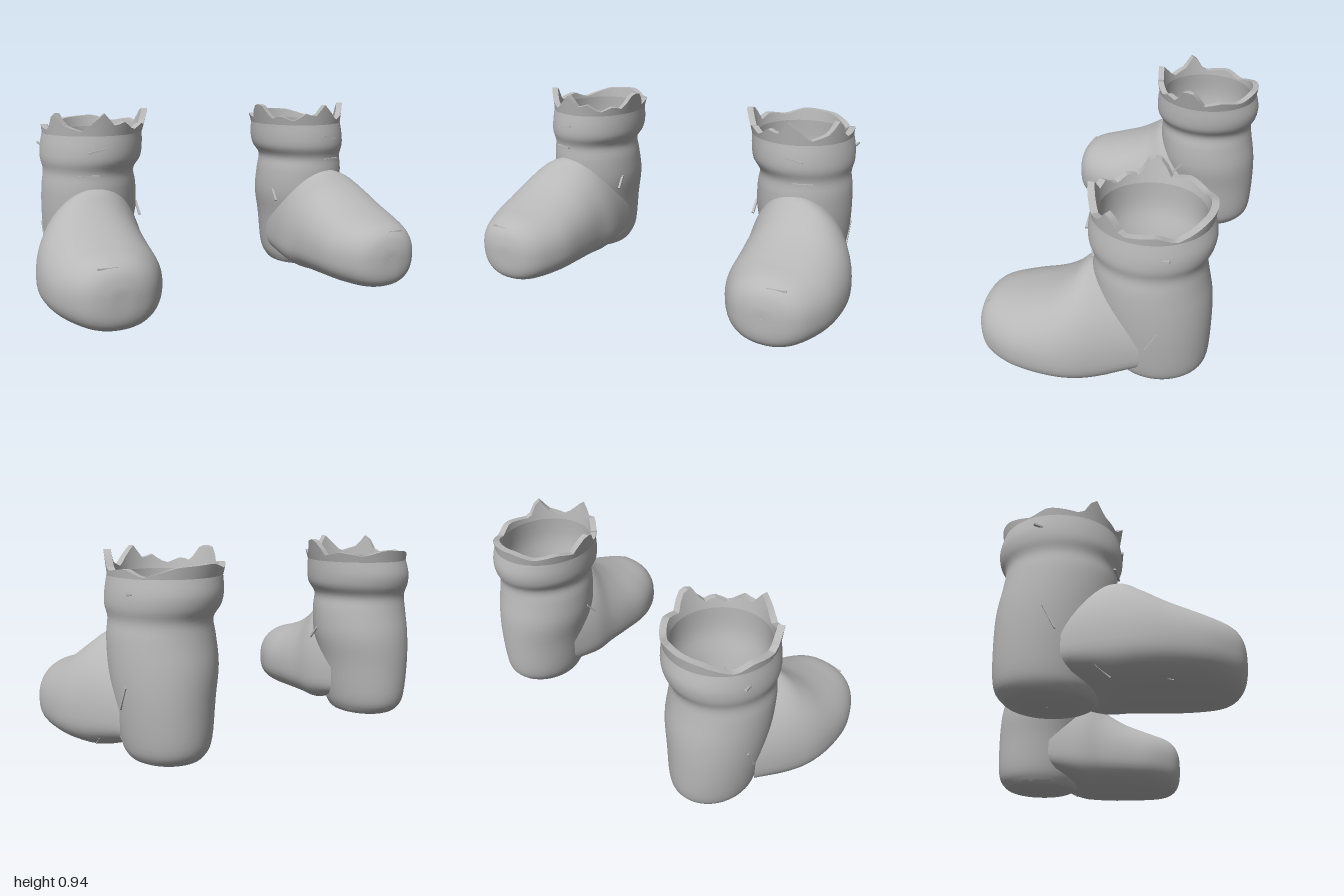
import * as THREE from 'three';
import { toCreasedNormals } from 'three/addons/utils/BufferGeometryUtils.js';

const SEG = 60;

// Smoothly resample a short table of section parameters
function resample(rows, steps) {
  const out = [];
  const at = i => rows[Math.max(0, Math.min(rows.length - 1, i))];
  for (let i = 0; i < rows.length - 1; i++) {
    for (let s = 0; s < steps; s++) {
      const t = s / steps;
      out.push(rows[i].map((b, k) => {
        const a = at(i - 1)[k], c = at(i + 1)[k], d = at(i + 2)[k];
        return b + 0.5 * t * (c - a + t * (2 * a - 5 * b + 4 * c - d + t * (3 * (b - c) + d - a)));
      }));
    }
  }
  out.push(rows[rows.length - 1]);
  return out;
}

// Skin a list of rings; point(row, angle) gives [x, y, z]; side mirrors in x
function loft(rows, point, side, crease) {
  const pos = [], index = [];
  rows.forEach(row => {
    for (let j = 0; j < SEG; j++) {
      const [x, y, z] = point(row, (j / SEG) * Math.PI * 2);
      pos.push(x * side, y, z);
    }
  });
  for (let i = 0; i < rows.length - 1; i++) {
    for (let j = 0; j < SEG; j++) {
      const k = (j + 1) % SEG;
      const a = i * SEG + j, b = a + SEG, c = i * SEG + k, d = c + SEG;
      if (side > 0) index.push(a, b, c, c, b, d);
      else index.push(a, c, b, c, d, b);
    }
  }
  const geo = new THREE.BufferGeometry();
  geo.setAttribute('position', new THREE.Float32BufferAttribute(pos, 3));
  geo.setIndex(index);
  return toCreasedNormals(geo, crease);
}

// Shaft and heel: y, centre x, half width, back z, front z
const SHAFT = [
  [0.02, 0.64, 0.002, -0.3, -0.296], [0.02, 0.64, 0.13, -0.44, -0.13],
  [0.05, 0.645, 0.17, -0.50, -0.08], [0.12, 0.645, 0.195, -0.532, -0.06],
  [0.3, 0.645, 0.22, -0.54, -0.03], [0.45, 0.635, 0.24, -0.535, 0.0],
  [0.58, 0.635, 0.238, -0.513, 0.008], [0.66, 0.635, 0.228, -0.505, 0.005],
  [0.72, 0.622, 0.252, -0.53, 0.028], [0.78, 0.615, 0.257, -0.538, 0.03],
  [0.85, 0.608, 0.252, -0.522, 0.02],
];
// Lining, from the collar down to the inner floor
const LINING = [
  [0.85, 0.606, 0.222, -0.49, -0.012], [0.72, 0.615, 0.222, -0.495, -0.012],
  [0.6, 0.625, 0.19, -0.475, -0.04], [0.4, 0.63, 0.15, -0.475, -0.08],
  [0.18, 0.635, 0.13, -0.47, -0.12], [0.12, 0.635, 0.1, -0.44, -0.16],
  [0.12, 0.635, 0.002, -0.3, -0.296],
];
const shaftPoint = ([y, cx, w, zb, zf], a) =>
  [cx + w * Math.cos(a), y, (zb + zf) / 2 + (zf - zb) / 2 * Math.sin(a)];

// Torn rim: angle in degrees (0 outer side, 90 front), height
const RIM = [
  [0, 0.88], [16, 0.87], [28, 0.97], [40, 0.9], [62, 0.87], [84, 0.96], [98, 0.89],
  [106, 0.92], [124, 0.87], [140, 0.9], [152, 0.88], [164, 0.965], [176, 0.95], [186, 0.88],
  [205, 0.9], [230, 0.88], [255, 0.91], [292, 0.9], [326, 0.855], [344, 0.89], [360, 0.88],
];
function rimHeight(a) {
  const deg = a * 180 / Math.PI;
  const i = Math.max(1, RIM.findIndex(r => r[0] >= deg));
  const [d0, y0] = RIM[i - 1], [d1, y1] = RIM[i];
  return y0 + (y1 - y0) * (deg - d0) / (d1 - d0);
}
// Rim rows: inset, whether the row follows the torn height
const RIM_ROWS = [[0, 0], [0, 1], [0.032, 1], [0.032, 0]];
function rimPoint([inset, torn], a) {
  const y = torn ? rimHeight(a) : 0.85;
  const flare = (y - 0.85) * 0.2;
  return [0.607 - flare * 0.5 + (0.252 - inset + flare) * Math.cos(a), y,
    -0.251 + (0.271 - inset + flare * 0.8) * Math.sin(a)];
}

// Foot from toe to ankle: z, centre x, half width, bottom y, top y, backward sweep of the sides
const FOOT = [
  [0.538, 0.72, 0.002, 0.198, 0.202, 0], [0.535, 0.72, 0.07, 0.11, 0.26, 0],
  [0.51, 0.72, 0.145, 0.06, 0.325, 0], [0.45, 0.72, 0.205, 0.035, 0.37, 0],
  [0.33, 0.72, 0.26, 0.028, 0.405, 0], [0.2, 0.72, 0.279, 0.025, 0.455, 0.02],
  [0.1, 0.71, 0.278, 0.022, 0.52, 0.06], [0.03, 0.68, 0.262, 0.022, 0.58, 0.12],
  [-0.03, 0.645, 0.215, 0.06, 0.6, 0.23],
];
function footPoint([z, cx, w, yb, yt, sweep], a) {
  const c = Math.cos(a), s = Math.sin(a), mid = 0.2;
  const y = s > 0 ? mid + (yt - mid) * Math.pow(s, 0.92) : mid - (mid - yb) * Math.pow(-s, 0.75);
  const back = sweep * (c * c + (s < 0 ? 0.35 * s * s : 0));
  return [cx + w * Math.sign(c) * Math.pow(Math.abs(c), 0.88), y, z - back];
}

// Loose slivers on the skin: x, y, z, length, turn about y, tilt
const SLIVERS = [
  [0.77, 0.335, 0.49, 0.09, 0.1, 0], [0.9, 0.06, 0.15, 0.09, 1.5, 0.15],
  [0.865, 0.33, -0.31, 0.12, 1.57, 1.1], [0.85, 0.78, -0.34, 0.1, 1.35, 0.2],
  [0.66, 0.78, 0.025, 0.09, 0.1, -0.2], [0.7, 0.655, -0.005, 0.1, 0.3, 0],
  [0.88, 0.085, -0.09, 0.08, 1.3, 0.6], [0.41, 0.45, -0.14, 0.08, 1.5, 0.9],
];

export function createModel() {
  const model = new THREE.Group();
  model.name = 'pairOfBoots';
  const grey = new THREE.MeshStandardMaterial({ color: 0xb8b8b8, side: THREE.DoubleSide });
  grey.name = 'grey';

  for (const side of [1, -1]) {
    const boot = new THREE.Group();
    boot.name = side > 0 ? 'leftBoot' : 'rightBoot';
    const add = (name, geo) => {
      const mesh = new THREE.Mesh(geo, grey);
      mesh.name = name;
      boot.add(mesh);
      return mesh;
    };
    add('shaftAndHeel', loft(resample(SHAFT, 4), shaftPoint, side, 1));
    add('lining', loft(resample(LINING, 3), shaftPoint, side, 1));
    add('tornRim', loft(RIM_ROWS, rimPoint, side, 0.5));
    add('foot', loft(resample(FOOT, 5), footPoint, side, 1));
    for (const [x, y, z, len, turn, tilt] of SLIVERS) {
      const sliver = add('sliver', new THREE.BoxGeometry(len, 0.008, 0.012));
      sliver.position.set(x * side, y, z);
      sliver.rotation.set(0, turn * side, tilt * side, 'YXZ');
    }
    model.add(boot);
  }
  return model;
}
